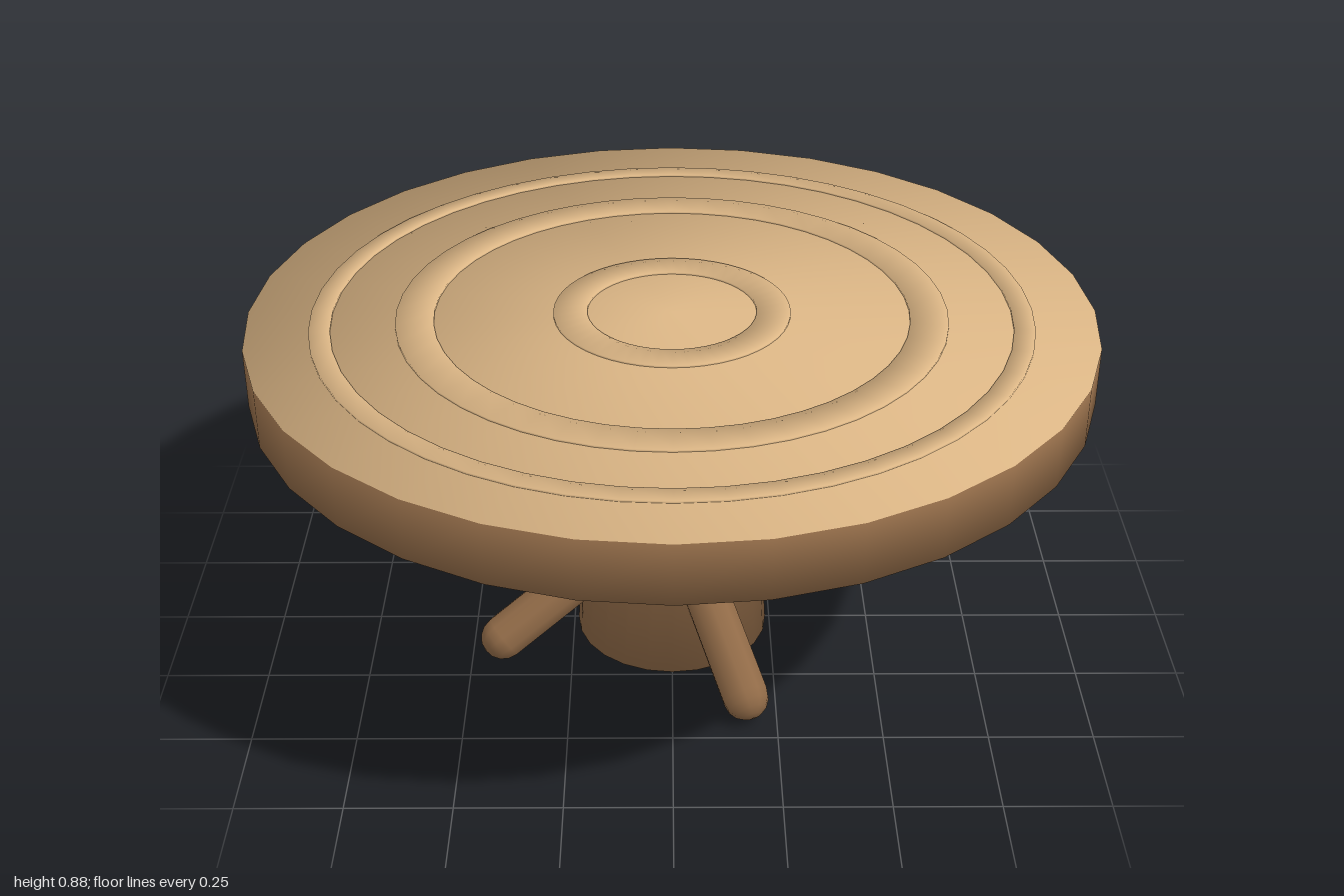
import * as THREE from 'three';
import { mergeVertices } from 'three/addons/utils/BufferGeometryUtils.js';

const wood = new THREE.MeshStandardMaterial({ color: 0xdeb887 });
wood.name = 'pale wood';
const bark = new THREE.MeshStandardMaterial({ color: 0x906a47 });
bark.name = 'brown bark';

const TABLE_BOTTOM = 0.735;
const TABLE_TOP = 0.88;

// Weld all corners and average the face normals, so shading rolls softly over every edge
function soften(source) {
  source.deleteAttribute('normal');
  source.deleteAttribute('uv');
  const geometry = mergeVertices(source);
  const position = geometry.attributes.position;
  const index = geometry.index;
  const sums = Array.from({ length: position.count }, () => new THREE.Vector3());
  const triangle = new THREE.Triangle();
  const normal = new THREE.Vector3();
  for (let i = 0; i < index.count; i += 3) {
    const corners = [0, 1, 2].map((k) => index.getX(i + k));
    triangle.setFromAttributeAndIndices(position, ...corners);
    triangle.getNormal(normal);
    corners.forEach((c) => sums[c].add(normal));
  }
  const normals = new Float32Array(position.count * 3);
  sums.forEach((n, i) => n.normalize().toArray(normals, i * 3));
  geometry.setAttribute('normal', new THREE.BufferAttribute(normals, 3));
  return geometry;
}

function addMesh(parent, name, geometry, material) {
  const mesh = new THREE.Mesh(geometry, material);
  mesh.name = name;
  parent.add(mesh);
  return mesh;
}

export function createModel() {
  const model = new THREE.Group();
  model.name = 'stumpTable';

  // Round slab: bark rim, pale top and underside
  const thickness = TABLE_TOP - TABLE_BOTTOM;
  const slab = soften(new THREE.CylinderGeometry(1, 1, thickness, 32));
  addMesh(model, 'tableTop', slab, [bark, wood, wood]).position.y = TABLE_BOTTOM + thickness / 2;

  // Thin raised growth rings
  const rings = new THREE.Group();
  rings.name = 'growthRings';
  model.add(rings);
  for (const [inner, outer] of [[0.2, 0.28], [0.56, 0.65], [0.8, 0.85]]) {
    const profile = [[outer, 0], [outer, 0.005], [inner, 0.005], [inner, 0]]
      .map(([r, y]) => new THREE.Vector2(r, y));
    addMesh(rings, 'growthRing', soften(new THREE.LatheGeometry(profile, 48)), wood)
      .position.y = TABLE_TOP;
  }

  // Tapered trunk
  const trunk = soften(new THREE.CylinderGeometry(0.195, 0.24, TABLE_BOTTOM, 24));
  addMesh(model, 'trunk', trunk, bark).position.y = TABLE_BOTTOM / 2;

  // Four roots sloping out and down, a quarter turn apart
  const start = new THREE.Vector3(0, 0.217, 0.205);
  const end = new THREE.Vector3(0, 0.062, 0.455);
  const along = end.clone().sub(start);
  const rootGeometry = new THREE.CapsuleGeometry(0.057, along.length(), 4, 10);
  for (let i = 0; i < 4; i++) {
    const pivot = new THREE.Group();
    pivot.name = 'rootPivot';
    pivot.rotation.y = Math.PI / 8 + (i * Math.PI) / 2;
    model.add(pivot);
    const root = addMesh(pivot, 'root', rootGeometry, bark);
    root.position.copy(start).add(end).multiplyScalar(0.5);
    root.quaternion.setFromUnitVectors(new THREE.Vector3(0, 1, 0), along.clone().normalize());
  }
  return model;
}
